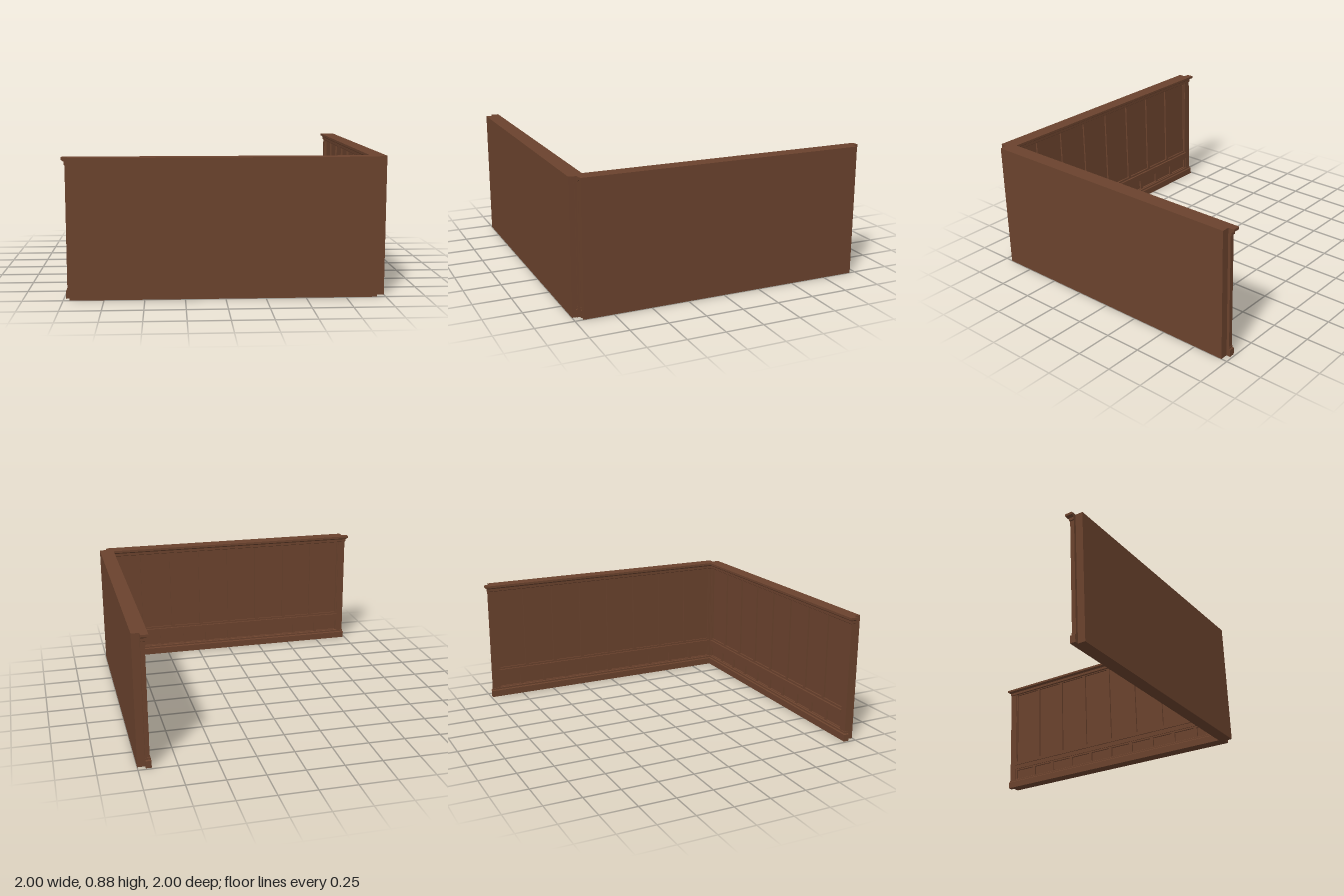
import * as THREE from 'three';

const H = 0.877;       // wall height
const HALF = 0.9525;   // half length of the backing slab
const FACE = 0.94;     // inner face of the slab
const BACK = 0.95;     // where the wrapped trim stops at the wall ends

const wood = new THREE.MeshStandardMaterial({ color: 0x6a422d });
wood.name = 'brown wood';

function box(parent, name, x0, x1, y0, y1, z0, z1) {
  const mesh = new THREE.Mesh(new THREE.BoxGeometry(x1 - x0, y1 - y0, z1 - z0), wood);
  mesh.position.set((x0 + x1) / 2, (y0 + y1) / 2, (z0 + z1) / 2);
  mesh.name = name;
  parent.add(mesh);
}

// Moulding that wraps the inner face and both ends; profile = [projection, y] going up
function moulding(parent, name, profile) {
  const rings = profile.map(([p, y]) => {
    const x = HALF + p, z = FACE - p;
    return [[-x, y, BACK], [x, y, BACK], [x, y, z], [-x, y, z]];
  });
  const pos = [];
  const quad = (a, b, c, d) => pos.push(...a, ...b, ...c, ...a, ...c, ...d);
  for (let i = 0; i < rings.length - 1; i++) {
    const lo = rings[i], hi = rings[i + 1];
    for (let k = 0; k < 4; k++) {
      const n = (k + 1) % 4;
      quad(lo[k], lo[n], hi[n], hi[k]);
    }
  }
  const bottom = rings[0], top = rings[rings.length - 1];
  quad(...top);
  quad(bottom[3], bottom[2], bottom[1], bottom[0]);
  const geo = new THREE.BufferGeometry();
  geo.setAttribute('position', new THREE.Float32BufferAttribute(pos, 3));
  geo.computeVertexNormals();
  const mesh = new THREE.Mesh(geo, wood);
  mesh.name = name;
  parent.add(mesh);
}

// A row of framed panels: horizontal rails with stiles between them
function panelRow(parent, name, count, y0, y1) {
  const row = new THREE.Group();
  row.name = name;
  const half = 0.92, front = FACE - 0.012, w = 0.012;
  box(row, 'lowerRail', -half, half, y0, y0 + 0.014, front, FACE);
  box(row, 'upperRail', -half, half, y1 - 0.014, y1, front, FACE);
  for (let i = 0; i <= count; i++) {
    const x = -half + (2 * half * i) / count;
    box(row, 'stile', x - w, x + w, y0, y1, front, FACE);
  }
  parent.add(row);
}

function buildWall(name) {
  const wall = new THREE.Group();
  wall.name = name;
  box(wall, 'backingSlab', -HALF, HALF, 0, H, FACE, 1);

  panelRow(wall, 'tallPanels', 8, 0.21, 0.835);
  panelRow(wall, 'lowPanels', 10, 0.06, 0.16);

  // End pilasters
  for (const s of [-1, 1]) {
    const a = s * 0.918, b = s * (HALF + 0.018);
    box(wall, 'endPilaster', Math.min(a, b), Math.max(a, b), 0.01, H - 0.01, FACE - 0.018, BACK);
  }

  // Baseboard and cornice
  moulding(wall, 'baseboard', [[0.027, 0], [0.027, 0.048], [0.02, 0.054], [0.02, 0.066], [0.014, 0.07]]);
  moulding(wall, 'cornice', [[0.018, 0.828], [0.023, 0.832], [0.023, 0.85], [0.032, 0.858], [0.04, 0.861], [0.04, H]]);

  // Chair rail between the two rows of panels
  box(wall, 'chairRail', -0.918, 0.918, 0.158, 0.205, FACE - 0.018, FACE);
  box(wall, 'chairRailCap', -0.918, 0.918, 0.19, 0.21, FACE - 0.026, FACE);
  return wall;
}

export function createModel() {
  const model = new THREE.Group();
  model.name = 'panelledCornerWalls';

  const front = buildWall('frontWall');
  front.position.x = -0.0075;

  const left = buildWall('leftWall');
  left.rotation.y = Math.PI / 2;
  left.position.z = -0.0075;

  model.add(front, left);
  return model;
}
